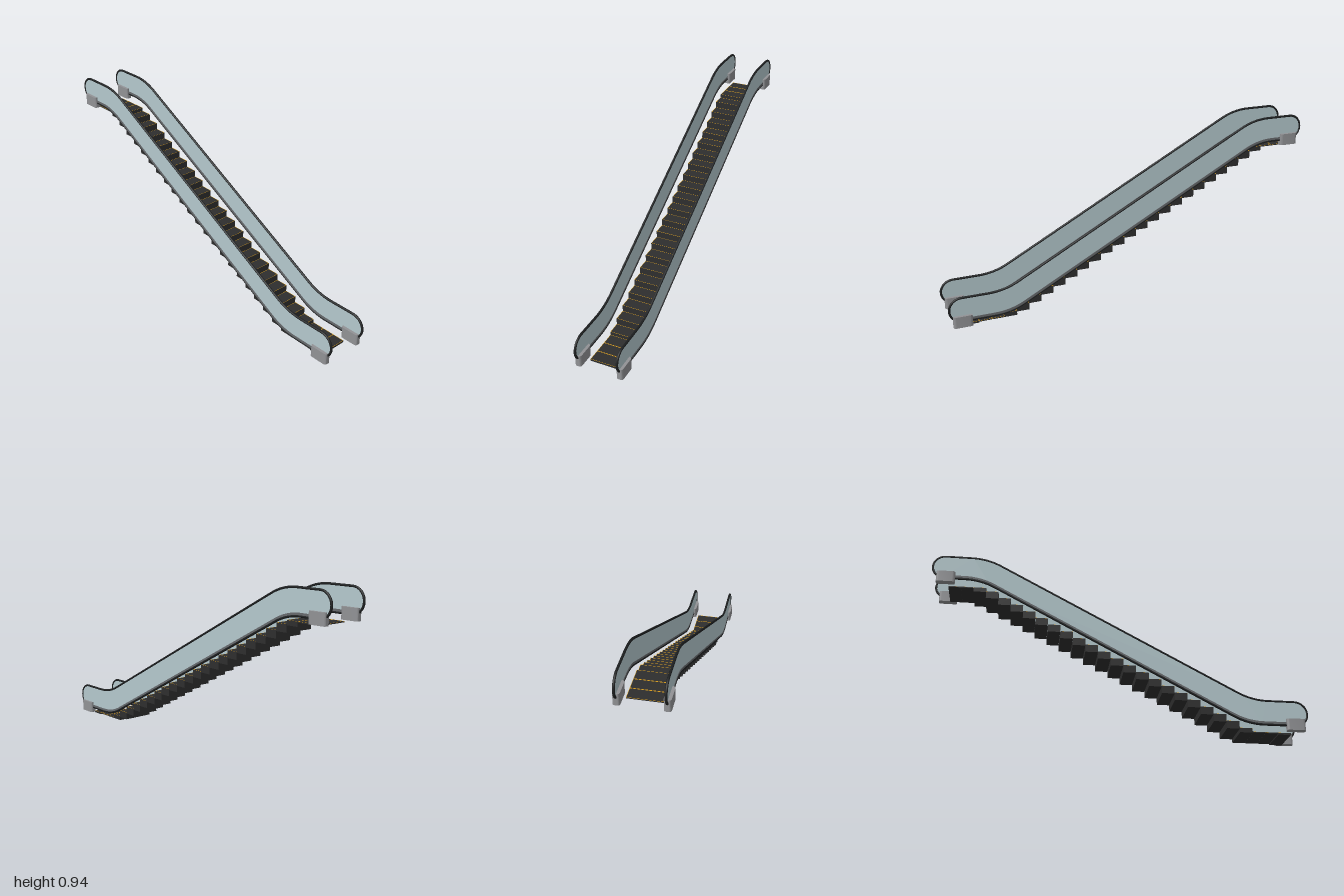
import * as THREE from 'three';
import { toCreasedNormals } from 'three/addons/utils/BufferGeometryUtils.js';

const mat = (name, color) => {
  const m = new THREE.MeshStandardMaterial({ color });
  m.name = name;
  return m;
};

export function createModel() {
  const stepMat = mat('step charcoal', 0x2e2e2e);
  const rubber = mat('handrail black', 0x1e2021);
  const glass = mat('glass blue grey', 0xb4c8cd);
  const trim = mat('skirt grey', 0x66696c);
  const metal = mat('housing grey', 0x919295);
  const yellow = mat('safety yellow', 0xd89c1c);

  const model = new THREE.Group();
  model.name = 'escalator';
  const add = (parent, name, geo, material, x = 0, y = 0, z = 0) => {
    const m = new THREE.Mesh(geo, material);
    m.name = name;
    m.position.set(x, y, z);
    parent.add(m);
    return m;
  };

  // Steps: level at both ends, climbing evenly in between
  const count = 27, pitch = 0.0672, width = 0.17, rise = 0.0359;
  const topOf = i => i < 3 ? 0.01 : Math.min(0.029 + rise * (i - 3), 0.767);
  const depth = pitch - 0.0008;
  const steps = new THREE.Group();
  steps.name = 'steps';
  model.add(steps);
  for (let i = 0; i < count; i++) {
    const top = topOf(i);
    const bottom = i === 0 ? 0 : topOf(i - 1) - 0.005;
    const z = pitch * ((count - 1) / 2 - i);
    add(steps, 'step', new THREE.BoxGeometry(width, top - bottom, depth), stepMat, 0, (top + bottom) / 2, z);
    // Yellow edge markings on the tread
    for (const s of [-1, 1]) {
      add(steps, 'edgeLine', new THREE.BoxGeometry(width, 0.001, 0.0018), yellow, 0, top, z + s * (depth / 2 - 0.001));
      add(steps, 'sideLine', new THREE.BoxGeometry(0.0018, 0.001, depth - 0.004), yellow, s * (width / 2 - 0.001), top, z);
    }
  }

  // Balustrade profile, drawn with shape x along the model's z
  const slope = 0.536, r = 0.065, endZ = 0.929, bend = 0.085, run = 0.075;
  const upperRun = shape => {
    shape.lineTo(0.705 + bend, 0.172);
    shape.quadraticCurveTo(0.705, 0.172, 0.705 - run, 0.172 + run * slope);
    shape.lineTo(-0.707 + run, 0.929 - run * slope);
    shape.quadraticCurveTo(-0.707, 0.929, -0.707 - bend, 0.929);
    shape.lineTo(-endZ, 0.929);
  };
  const lowerRun = shape => {
    shape.lineTo(-0.735 - bend, 0.799);
    shape.quadraticCurveTo(-0.735, 0.799, -0.735 + run, 0.799 - run * slope);
    shape.lineTo(0.677 - run, 0.042 + run * slope);
    shape.quadraticCurveTo(0.677, 0.042, 0.677 + bend, 0.042);
    shape.lineTo(endZ, 0.042);
  };
  const outline = new THREE.Shape();
  outline.moveTo(endZ, 0.172);
  upperRun(outline);
  outline.absarc(-endZ, 0.864, r, Math.PI / 2, Math.PI * 1.5, false);
  lowerRun(outline);
  outline.absarc(endZ, 0.107, r, -Math.PI / 2, Math.PI / 2, false);

  const sideExtrude = (shape, thickness) => {
    const g = new THREE.ExtrudeGeometry(shape, { depth: thickness, bevelEnabled: false, curveSegments: 16 });
    g.translate(0, 0, -thickness / 2);
    g.rotateY(-Math.PI / 2);
    return toCreasedNormals(g, 0.6);
  };
  const glassGeo = sideExtrude(outline, 0.005);

  // Handrail belt: a closed tube around the whole profile
  const loop = outline.getSpacedPoints(260).slice(0, -1).map(p => new THREE.Vector3(0, p.y, p.x));
  const beltGeo = new THREE.TubeGeometry(new THREE.CatmullRomCurve3(loop, true), 300, 0.0063, 8, true);

  // Skirt strip just above the lower belt run
  const lower = new THREE.Path();
  lower.moveTo(-endZ, 0.799);
  lowerRun(lower);
  const base = lower.getPoints(12);
  const raised = base.map(p => new THREE.Vector2(p.x, p.y + 0.016)).reverse();
  const skirtGeo = sideExtrude(new THREE.Shape([...base, ...raised]), 0.009);

  // Housing where the belt enters: rounded plan, extruded upwards
  const hw = 0.0175, hl = 0.05, c = 0.014;
  const plan = new THREE.Shape();
  plan.moveTo(-hw + c, -hl);
  plan.lineTo(hw - c, -hl);
  plan.quadraticCurveTo(hw, -hl, hw, -hl + c);
  plan.lineTo(hw, hl - c);
  plan.quadraticCurveTo(hw, hl, hw - c, hl);
  plan.lineTo(-hw + c, hl);
  plan.quadraticCurveTo(-hw, hl, -hw, hl - c);
  plan.lineTo(-hw, -hl + c);
  plan.quadraticCurveTo(-hw, -hl, -hw + c, -hl);
  let housingGeo = new THREE.ExtrudeGeometry(plan, { depth: 0.062, bevelEnabled: false, curveSegments: 6 });
  housingGeo.rotateX(-Math.PI / 2);
  housingGeo = toCreasedNormals(housingGeo, 0.6);

  for (const s of [1, -1]) {
    const side = new THREE.Group();
    side.name = s > 0 ? 'leftBalustrade' : 'rightBalustrade';
    side.position.x = s * 0.1125;
    model.add(side);
    add(side, 'glassPanel', glassGeo, glass);
    add(side, 'handrail', beltGeo, rubber);
    add(side, 'skirt', skirtGeo, trim);
    add(side, 'lowerHousing', housingGeo, metal, 0, 0.013, 0.928);
    add(side, 'upperHousing', housingGeo, metal, 0, 0.771, -0.922);
  }
  return model;
}
